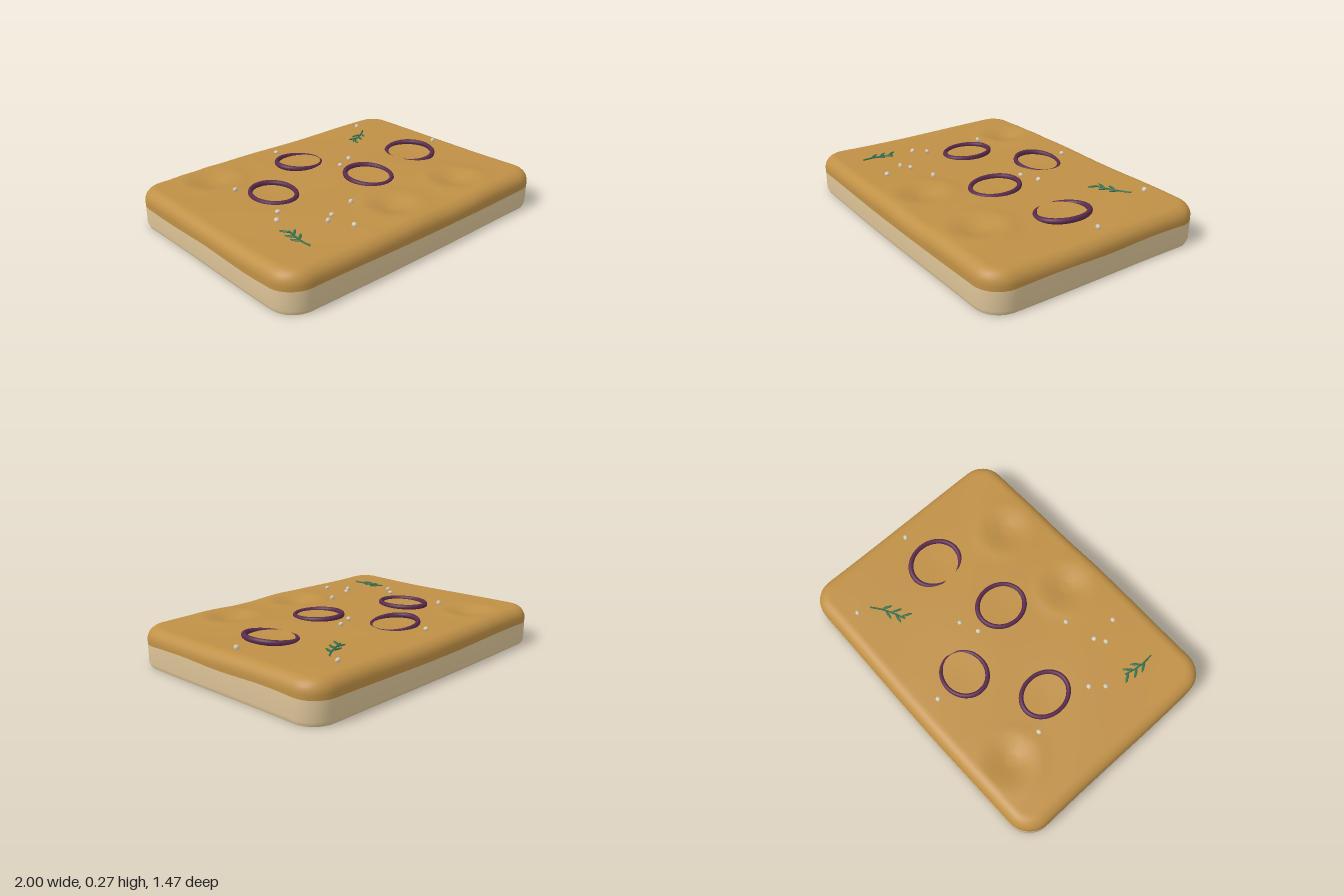
import * as THREE from 'three';

const mat = (name, color, double = false) => {
  const m = new THREE.MeshStandardMaterial({ color });
  m.name = name;
  if (double) m.side = THREE.DoubleSide;
  return m;
};

const HX = 0.995, HZ = 0.73, CORNER = 0.15, BEVEL = 0.075;

const dimples = [[-0.6, -0.5], [-0.04, 0.48], [0.5, 0.47]];
// x, z, radius x, radius z, tilt about x, tilt about z, height above crust
const onions = [
  [-0.45, -0.09, 0.125, 0.15, 0.02, 0.02, 0.004],
  [-0.04, -0.355, 0.147, 0.13, 0, -0.1, 0.004],
  [0.135, 0.095, 0.135, 0.15, 0.06, 0, 0.009],
  [0.62, -0.015, 0.138, 0.16, 0, 0.12, 0.001],
];

// Height of the uneven crust
function topY(x, z) {
  let y = 0.238 + 0.005 * Math.sin(3.1 * x + 1.2) * Math.cos(2.7 * z) + 0.003 * Math.sin(7 * x - 5 * z);
  for (const [dx, dz] of dimples) {
    const d = Math.hypot(x - dx, z - dz);
    y += -0.028 * Math.exp(-((d / 0.09) ** 2)) + 0.006 * Math.exp(-(((d - 0.17) / 0.05) ** 2));
  }
  for (const [dx, dz] of onions) y -= 0.006 * Math.exp(-((Math.hypot(x - dx, z - dz) / 0.12) ** 2));
  return y;
}

// Rounded rectangle outline as [x, z] points, inset by i
function outline(inset) {
  const pts = [], r = CORNER - inset, cx = HX - CORNER, cz = HZ - CORNER;
  const corners = [[1, 1], [-1, 1], [-1, -1], [1, -1]];
  corners.forEach(([sx, sz], k) => {
    for (let i = 0; i <= 8; i++) {
      const a = (k + i / 8) * Math.PI / 2;
      pts.push([sx * cx + r * Math.cos(a), sz * cz + r * Math.sin(a)]);
    }
    const [ax, az] = pts[pts.length - 1];
    const [nx, nz] = corners[(k + 1) % 4], b = (k + 1) * Math.PI / 2;
    const ex = nx * cx + r * Math.cos(b), ez = nz * cz + r * Math.sin(b);
    const n = k % 2 ? 26 : 36;
    for (let i = 1; i < n; i++) pts.push([ax + (ex - ax) * i / n, az + (ez - az) * i / n]);
  });
  // slight waviness of the long edges
  return pts.map(([x, z]) => [x + 0.004 * Math.sin(4 * z) * x, z + 0.005 * Math.sin(3 * x + 2) * (z / HZ)]);
}

// Skin a stack of closed loops
function skin(rows) {
  const n = rows[0].length, index = [];
  for (let j = 0; j < rows.length - 1; j++) {
    for (let i = 0; i < n; i++) {
      const a = j * n + i, b = j * n + (i + 1) % n;
      index.push(a, a + n, b, b, a + n, b + n);
    }
  }
  const g = new THREE.BufferGeometry();
  g.setAttribute('position', new THREE.Float32BufferAttribute(rows.flat(2), 3));
  g.setIndex(index);
  g.computeVertexNormals();
  return g;
}

export function createModel() {
  const model = new THREE.Group();
  model.name = 'flatbread';
  const crust = mat('golden crust', 0xbf9046, true);
  const crumb = mat('pale crumb', 0xdec598, true);
  const onionMat = mat('red onion', 0x5a2b4c);
  const herb = mat('herb green', 0x34704f);
  const salt = mat('salt', 0xd6cbb8);
  const olive = mat('dark olive', 0x3a3014);

  const add = (name, geometry, material, parent = model) => {
    const m = new THREE.Mesh(geometry, material);
    m.name = name;
    parent.add(m);
    return m;
  };

  // Pale side wall, open underneath
  const border = (x, z) => 0.137 + 0.007 * Math.sin(4 * x + 3.5) + 0.004 * Math.sin(9 * z + 5 * x);
  const outer = outline(0), inner = outline(BEVEL);
  add('sideWall', skin([
    outline(0.01).map(([x, z]) => [x, 0.004, z]),
    outer.map(([x, z]) => [x, 0.03, z]),
    outer.map(([x, z]) => [x, border(x, z), z]),
  ]), crumb);

  // Browned crust: upper side, rounded shoulder, dimpled top
  const rows = [outer.map(([x, z]) => [x, border(x, z), z])];
  for (let k = 0; k <= 8; k++) {
    const a = k / 8 * Math.PI / 2;
    rows.push(outline(BEVEL * (1 - Math.cos(a))).map(([x, z], i) =>
      [x, topY(...inner[i]) - BEVEL * (1 - Math.sin(a)), z]));
  }
  for (let k = 1; k <= 55; k++) {
    const s = 1 - k / 55;
    rows.push(inner.map(([x, z]) => [x * s, topY(x * s, z * s), z * s]));
  }
  add('crust', skin(rows), crust);

  // Shallow bowls in the dimples
  const bowl = new THREE.LatheGeometry(
    [[0, -0.009], [0.03, -0.008], [0.06, -0.004], [0.08, 0.001]].map(p => new THREE.Vector2(...p)), 32);
  for (const [x, z] of dimples) add('dimple', bowl, crust).position.set(x, topY(x, z) + 0.012, z);

  // Olives pressed up beneath the crust
  const oliveGeo = new THREE.SphereGeometry(1, 28, 10);
  const addOlive = (x, z, r) => {
    const m = add('olive', oliveGeo, olive);
    m.scale.set(r, 0.012, r);
    m.position.set(x, topY(x, z) - 0.022, z);
  };
  dimples.forEach(([x, z]) => addOlive(x, z, 0.08));
  onions.forEach(([x, z]) => addOlive(x, z, 0.125));

  // Onion rings, slightly tilted into the crust
  for (const [x, z, rx, rz, tx, tz, h] of onions) {
    const g = new THREE.TorusGeometry(1, 0.1, 10, 56).rotateX(Math.PI / 2);
    g.scale(rx, 0.17, rz);
    const m = add('onionRing', g, onionMat);
    m.rotation.set(tx, 0, tz);
    m.position.set(x, 0.236 + h, z);
  }

  // Herb sprigs: curved stem with paired leaves
  const leafGeo = new THREE.SphereGeometry(1, 10, 6).translate(0, 0, 1);
  const sprig = (x0, z0, x1, z1) => {
    const g = new THREE.Group();
    g.name = 'herbSprig';
    const len = Math.hypot(x1 - x0, z1 - z0);
    g.position.set(x0, topY((x0 + x1) / 2, (z0 + z1) / 2) + 0.005, z0);
    g.rotation.y = Math.atan2(x1 - x0, z1 - z0);
    const curve = new THREE.CatmullRomCurve3([[0, 0], [0.01, 0.35], [0.008, 0.7], [0, 1]]
      .map(([a, b]) => new THREE.Vector3(a, 0, b * len)));
    add('stem', new THREE.TubeGeometry(curve, 16, 0.005, 6), herb, g);
    [0.3, 0.42, 0.58, 0.7, 0.88].forEach((t, i) => {
      const leaf = add('leaf', leafGeo, herb, g);
      leaf.scale.set(0.008, 0.005, 0.034);
      leaf.position.copy(curve.getPointAt(t));
      leaf.position.y += 0.003;
      leaf.rotation.y = (i % 2 ? -1 : 1) * 0.65;
    });
    model.add(g);
  };
  sprig(0.66, -0.5, 0.46, -0.39);
  sprig(-0.7, 0.54, -0.68, 0.34);

  // Salt flakes
  const grain = new THREE.IcosahedronGeometry(0.016, 1);
  [[-0.055, -0.57], [0.68, -0.58], [-0.59, -0.27], [0.1, -0.12], [0.215, -0.165], [0.88, -0.04],
    [-0.59, 0.13], [-0.655, 0.205], [-0.46, 0.4], [-0.4, 0.36], [-0.39, 0.53], [-0.21, 0.31]]
    .forEach(([x, z], i) => {
      const m = add('saltFlake', grain, salt);
      m.position.set(x, topY(x, z) + 0.008, z);
      m.rotation.set(i, i * 2, 0);
      m.scale.set(1, 0.8, 0.9 + 0.1 * (i % 3));
    });

  return model;
}
